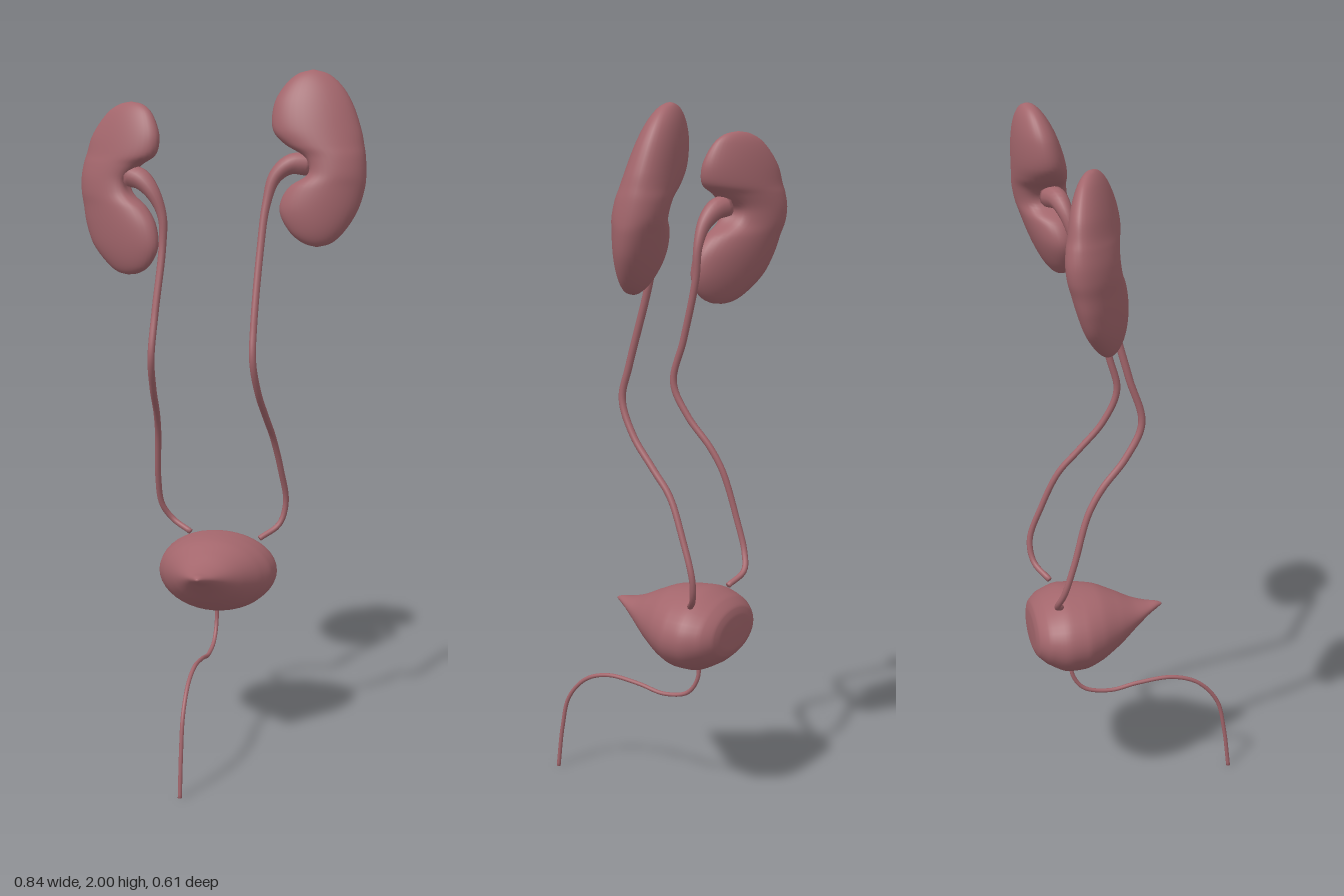
import * as THREE from 'three';

const tissue = new THREE.MeshStandardMaterial({ color: 0xa3666c });
tissue.name = 'muted rose tissue';

const V = (x, y, z) => new THREE.Vector3(x, y, z);
const spline = (pts) => new THREE.CatmullRomCurve3(pts.map((p) => V(...p)));

// Skins a smooth closed surface over a list of rings, with a point closing each end
function loft(name, rings) {
  const n = rings[0].length;
  const verts = rings.flat();
  const index = [];
  for (let i = 0; i < rings.length - 1; i++) {
    for (let j = 0; j < n; j++) {
      const a = i * n + j, c = i * n + (j + 1) % n;
      index.push(a, c, a + n, c, c + n, a + n);
    }
  }
  const last = (rings.length - 1) * n;
  const centre = (ring) => ring.reduce((s, v) => s.add(v), V(0, 0, 0)).divideScalar(n);
  const start = verts.length;
  verts.push(centre(rings[0]), centre(rings[rings.length - 1]));
  for (let j = 0; j < n; j++) {
    const k = (j + 1) % n;
    index.push(start, k, j, start + 1, last + j, last + k);
  }
  const geo = new THREE.BufferGeometry().setFromPoints(verts);
  geo.setIndex(index);
  geo.computeVertexNormals();
  const mesh = new THREE.Mesh(geo, tissue);
  mesh.name = name;
  return mesh;
}

function ring(n, fn) {
  return Array.from({ length: n }, (_, j) => {
    const a = (j / n) * Math.PI * 2;
    return fn(Math.cos(a), Math.sin(a));
  });
}

// Tube along a curve whose radius follows a function of the distance along it
function taperedTube(name, pts, radius, steps = 110, sides = 12) {
  const curve = spline(pts);
  const { normals, binormals } = curve.computeFrenetFrames(steps);
  const rings = [];
  for (let i = 0; i <= steps; i++) {
    const p = curve.getPointAt(i / steps), r = radius(i / steps);
    rings.push(ring(sides, (c, s) =>
      p.clone().addScaledVector(normals[i], c * r).addScaledVector(binormals[i], s * r)));
  }
  return loft(name, rings);
}

// Bean-shaped organ; rows run top to bottom as [inner x, y, outer x]
function kidney(name, rows, { z, yaw, lean, thick, hilum }) {
  const curve = spline(rows);
  const top = rows[0][1], bottom = rows[rows.length - 1][1];
  const midY = (top + bottom) / 2, halfY = (top - bottom) / 2;
  const side = Math.sign(rows[0][0]);
  const rings = [];
  const steps = 72;
  for (let i = 0; i <= steps; i++) {
    const p = curve.getPoint(i / steps);
    const midX = (p.x + p.z) / 2, halfX = Math.abs(p.z - p.x) / 2;
    const u = Math.min(1, Math.abs((p.y - midY) / halfY));
    const t = thick * Math.sqrt(1 - u * u);
    const cleft = 0.025 * Math.exp(-(((p.y - hilum) / 0.045) ** 2));
    rings.push(ring(36, (c, s) => {
      const inner = Math.max(0, -c * side);
      const x = midX + halfX * c + side * cleft * inner ** 6;
      return V(x, p.y, z + yaw * (x - side * 0.29) + lean * (p.y - midY) + t * s);
    }));
  }
  return loft(name, rings);
}

// Bladder rows run back to front as [z, half width, bottom y, top y]
function bladder() {
  const rows = [
    [-0.306, 0.02, 0.515, 0.54], [-0.304, 0.09, 0.48, 0.575], [-0.297, 0.122, 0.462, 0.597],
    [-0.27, 0.155, 0.437, 0.622], [-0.21, 0.177, 0.409, 0.644], [-0.16, 0.171, 0.41, 0.643],
    [-0.11, 0.146, 0.427, 0.637], [-0.05, 0.104, 0.466, 0.613], [0, 0.066, 0.51, 0.59],
    [0.04, 0.037, 0.542, 0.58], [0.07, 0.015, 0.558, 0.578], [0.085, 0.004, 0.567, 0.573],
  ];
  const sizes = spline(rows.map((r) => [r[1], r[2], r[3]]));
  const depth = spline(rows.map((r) => [r[0], 0, 0]));
  const rings = [];
  for (let i = 0; i <= 66; i++) {
    const q = sizes.getPoint(i / 66), z = depth.getPoint(i / 66).x;
    const midY = (q.y + q.z) / 2, halfY = (q.z - q.y) / 2;
    rings.push(ring(40, (c, s) => V(-0.007 + q.x * c, midY + halfY * s, z)));
  }
  return loft('bladder', rings);
}

export function createModel() {
  const model = new THREE.Group();
  model.name = 'urinaryTract';

  // Kidneys
  model.add(kidney('leftKidney', [
    [0.258, 1.998, 0.262], [0.215, 1.985, 0.305], [0.178, 1.95, 0.345], [0.153, 1.9, 0.376],
    [0.153, 1.83, 0.402], [0.185, 1.79, 0.411], [0.232, 1.755, 0.417], [0.242, 1.71, 0.42],
    [0.2, 1.67, 0.418], [0.18, 1.61, 0.402], [0.208, 1.55, 0.367], [0.25, 1.515, 0.33],
    [0.288, 1.504, 0.292],
  ], { z: -0.195, yaw: -0.12, lean: -0.19, thick: 0.074, hilum: 1.73 }));
  model.add(kidney('rightKidney', [
    [-0.253, 1.908, -0.257], [-0.215, 1.9, -0.295], [-0.185, 1.875, -0.335], [-0.16, 1.81, -0.385],
    [-0.17, 1.76, -0.402], [-0.21, 1.73, -0.412], [-0.24, 1.69, -0.419], [-0.235, 1.65, -0.418],
    [-0.195, 1.61, -0.41], [-0.165, 1.56, -0.4], [-0.157, 1.5, -0.376], [-0.185, 1.445, -0.325],
    [-0.22, 1.423, -0.29], [-0.253, 1.417, -0.257],
  ], { z: -0.155, yaw: 0.45, lean: -0.1, thick: 0.068, hilum: 1.68 }));

  // Ureters, flaring into the kidneys at the top
  const flare = (t) => 0.0085 + 0.003 * (1 - t) + 0.021 * Math.exp(-((t / 0.09) ** 2));
  model.add(taperedTube('leftUreter', [
    [0.26, 1.735, -0.18], [0.21, 1.735, -0.165], [0.168, 1.7, -0.15], [0.146, 1.62, -0.13],
    [0.136, 1.5, -0.1], [0.13, 1.285, -0.037], [0.132, 1.19, -0.016], [0.14, 1.095, -0.055],
    [0.151, 1.01, -0.125], [0.161, 0.94, -0.185], [0.177, 0.83, -0.235], [0.186, 0.725, -0.27],
    [0.168, 0.66, -0.262], [0.115, 0.622, -0.225],
  ], flare));
  model.add(taperedTube('rightUreter', [
    [-0.25, 1.7, -0.13], [-0.215, 1.69, -0.115], [-0.175, 1.65, -0.1], [-0.148, 1.585, -0.095],
    [-0.147, 1.5, -0.09], [-0.158, 1.32, -0.045], [-0.162, 1.19, -0.01], [-0.168, 1.095, -0.055],
    [-0.175, 1.01, -0.125], [-0.181, 0.94, -0.165], [-0.192, 0.8, -0.207], [-0.187, 0.71, -0.235],
    [-0.157, 0.662, -0.25], [-0.098, 0.63, -0.23],
  ], flare));

  // Bladder and the thin outlet below it
  model.add(bladder());
  model.add(taperedTube('urethra', [
    [-0.007, 0.43, -0.187], [-0.007, 0.365, -0.182], [-0.007, 0.318, -0.148], [-0.007, 0.301, -0.07],
    [-0.007, 0.316, 0.016], [-0.007, 0.323, 0.12], [-0.007, 0.296, 0.2], [-0.007, 0.228, 0.26],
    [-0.007, 0.13, 0.284], [-0.007, 0.001, 0.3],
  ], () => 0.006, 80));

  return model;
}
